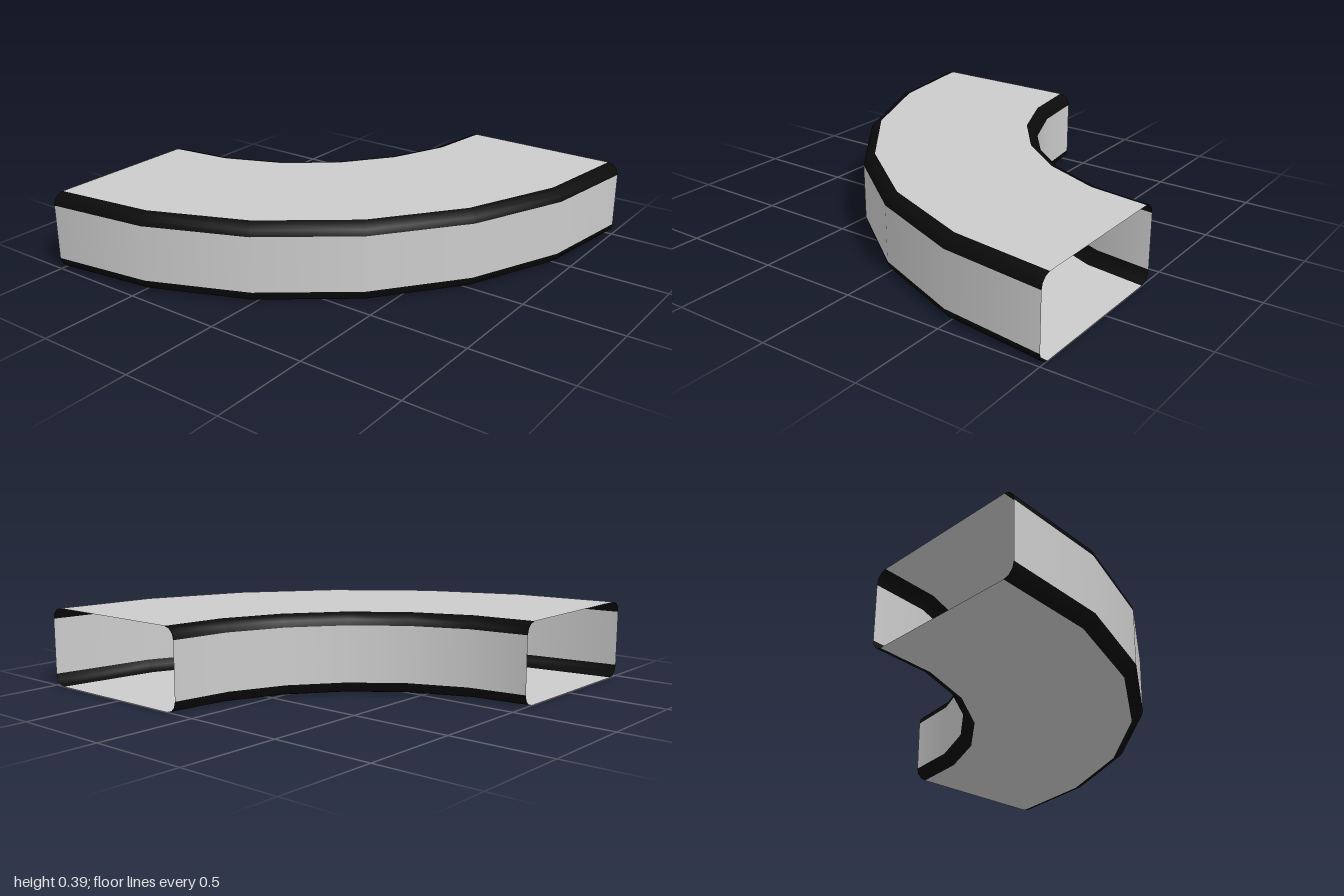
import * as THREE from 'three';

const INNER = 1.11, OUTER = 2.0, HEIGHT = 0.39, CORNER = 0.057, SEGMENTS = 6;

export function createModel() {
  const group = new THREE.Group();
  group.name = 'curvedDuct';

  const wallGrey = new THREE.MeshStandardMaterial({ color: 0xcccccc, side: THREE.DoubleSide });
  wallGrey.name = 'wallGrey';
  const trimBlack = new THREE.MeshStandardMaterial({ color: 0x0a0a0a, side: THREE.DoubleSide });
  trimBlack.name = 'trimBlack';

  // Sweeps one strip of the duct's section through a quarter turn
  const sweep = (name, points, material) => {
    const geometry = new THREE.LatheGeometry(points, SEGMENTS, -Math.PI / 2, Math.PI / 2);
    const mesh = new THREE.Mesh(geometry, material);
    mesh.name = name;
    mesh.position.set(1, 0, -1);
    group.add(mesh);
  };

  // Rounded corners, anticlockwise round the section from the lower outer one
  const r0 = INNER + CORNER, r1 = OUTER - CORNER;
  const y0 = CORNER, y1 = HEIGHT - CORNER;
  const corners = [
    ['lowerOuterTrim', r1, y0, -90],
    ['upperOuterTrim', r1, y1, 0],
    ['upperInnerTrim', r0, y1, 90],
    ['lowerInnerTrim', r0, y0, 180],
  ].map(([name, r, y, start]) => {
    const points = [];
    for (let i = 0; i <= 3; i++) {
      const a = THREE.MathUtils.degToRad(start + i * 30);
      points.push(new THREE.Vector2(r + CORNER * Math.cos(a), y + CORNER * Math.sin(a)));
    }
    return { name, points };
  });

  // Black trim on each corner, and the flat panel running to the next corner
  const panels = ['outerWall', 'topPanel', 'innerWall', 'bottomPanel'];
  corners.forEach(({ name, points }, i) => {
    sweep(name, points, trimBlack);
    sweep(panels[i], [points[3], corners[(i + 1) % 4].points[0]], wallGrey);
  });

  return group;
}
